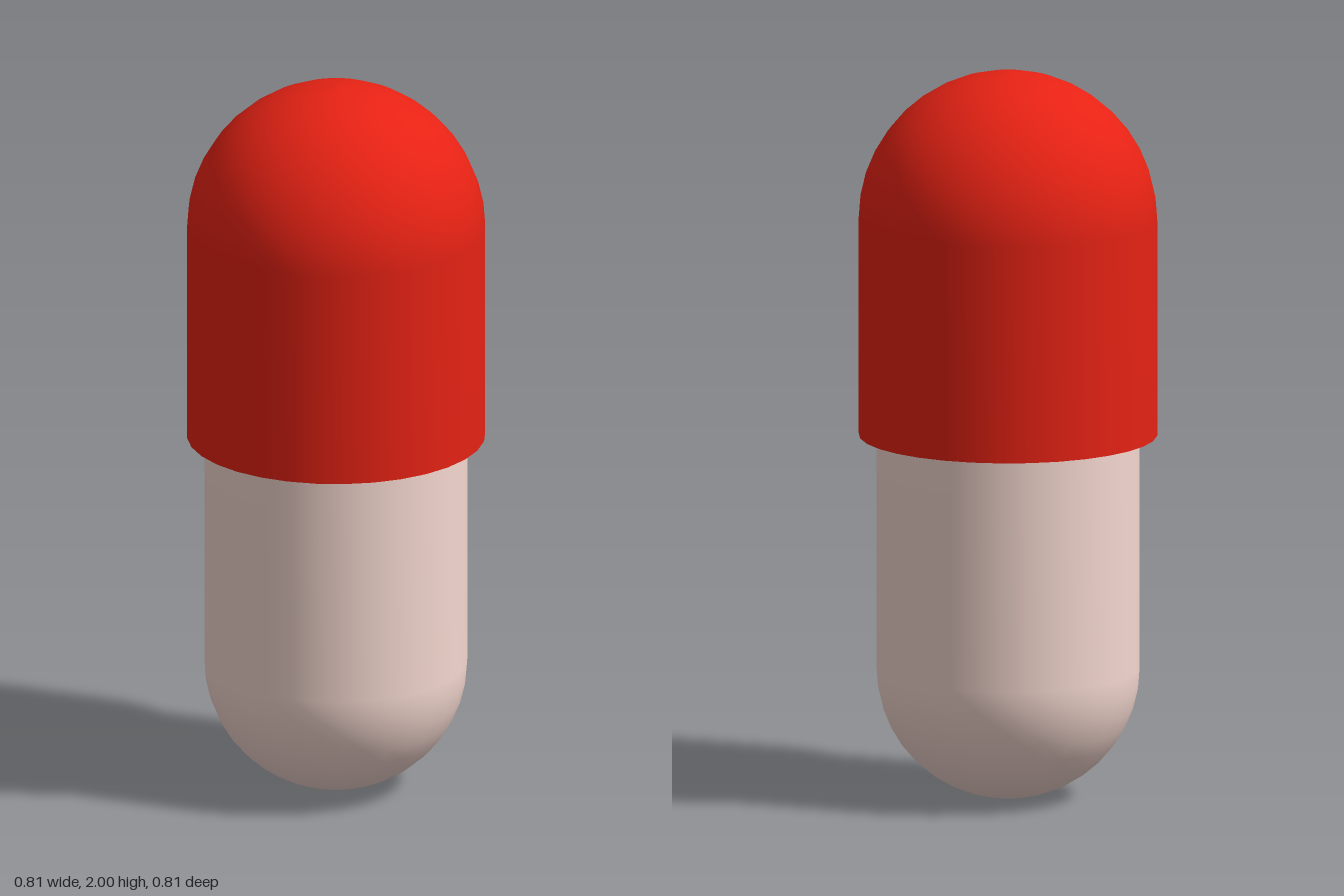
import * as THREE from 'three';

const SIDES = 32, DOME_STEPS = 10;
const CAP_R = 0.405, BODY_R = 0.357, LIP_R = 0.375, SEAM_Y = 1, TOP_Y = 2;

// Quarter-circle profile from startAngle to endAngle around a centre on the axis
function arc(radius, centreY, startAngle, endAngle) {
  return Array.from({ length: DOME_STEPS + 1 }, (_, i) => {
    const a = startAngle + (endAngle - startAngle) * i / DOME_STEPS;
    return new THREE.Vector2(Math.max(0, radius * Math.cos(a)), centreY + radius * Math.sin(a));
  });
}

function revolve(name, points, material) {
  const mesh = new THREE.Mesh(new THREE.LatheGeometry(points, SIDES), material);
  mesh.name = name;
  return mesh;
}

export function createModel() {
  const model = new THREE.Group();
  model.name = 'capsule';
  const red = new THREE.MeshStandardMaterial({ color: 0xe62214 });
  const cream = new THREE.MeshStandardMaterial({ color: 0xf5d8d0 });
  const point = (x, y) => new THREE.Vector2(x, y);
  const quarter = Math.PI / 2;

  // Lower half: rounded base whose tube runs up inside the cap
  model.add(revolve('lowerBody', [
    ...arc(BODY_R, BODY_R, -quarter, 0),
    ...arc(BODY_R, 1.45, 0, quarter),
  ], cream));

  // Upper half: wider domed cap with a crisp rim and a shallow inner wall
  const cap = new THREE.Group();
  cap.name = 'cap';
  cap.add(
    revolve('capShell', [point(CAP_R, SEAM_Y), ...arc(CAP_R, TOP_Y - CAP_R, 0, quarter)], red),
    revolve('capRim', [point(LIP_R, SEAM_Y), point(CAP_R, SEAM_Y)], red),
    revolve('capInnerWall', [point(BODY_R - 0.01, 1.2), point(LIP_R, 1.15), point(LIP_R, SEAM_Y)], red),
  );
  model.add(cap);
  return model;
}
